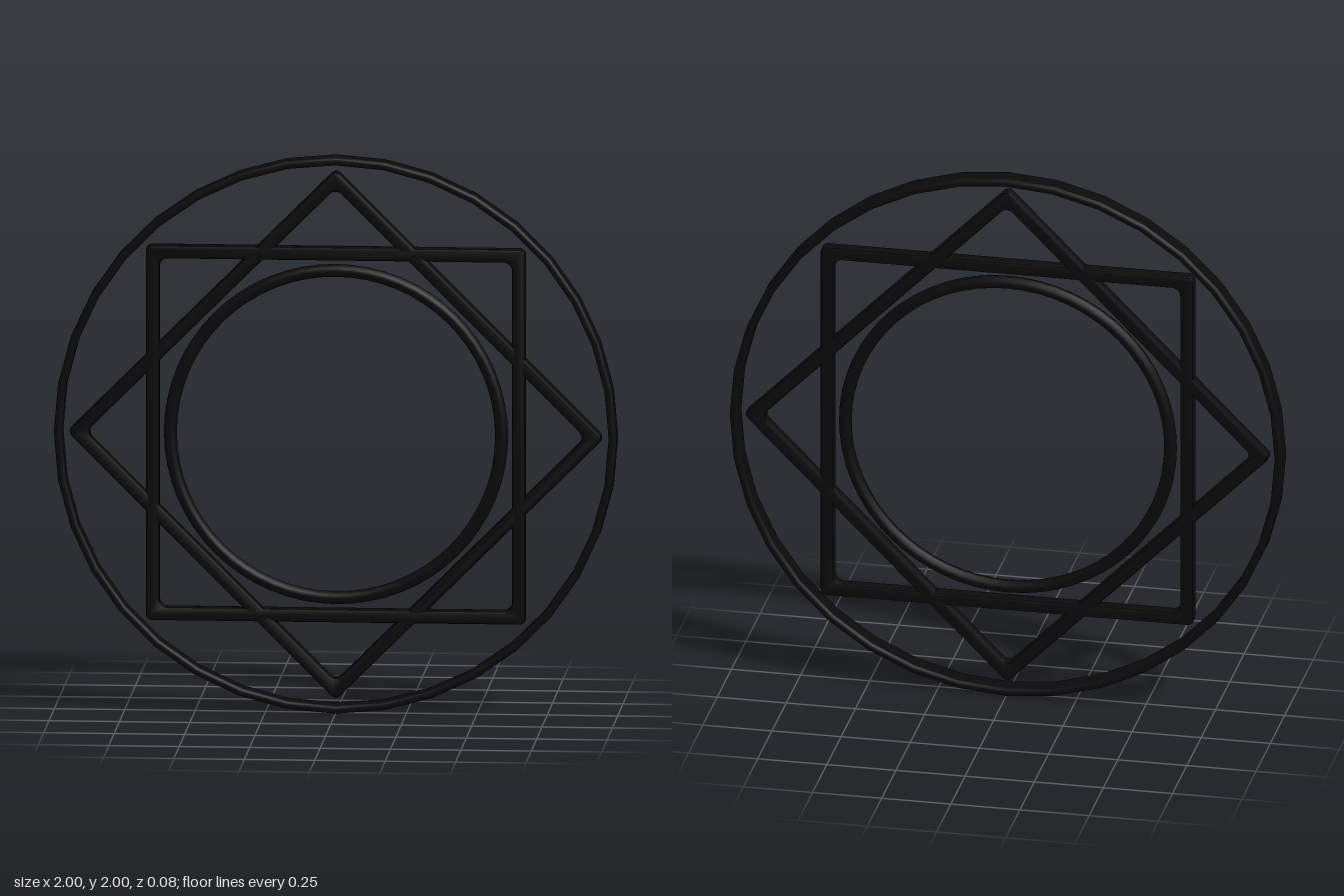
import * as THREE from 'three';
import { toCreasedNormals } from 'three/addons/utils/BufferGeometryUtils.js';

const black = new THREE.MeshStandardMaterial({ color: 0x0a0a0a });

function addPart(group, name, geometry) {
  const mesh = new THREE.Mesh(geometry, black);
  mesh.name = name;
  mesh.position.y = 1;
  group.add(mesh);
  return mesh;
}

// Traces a square with rounded corners, half side h and corner radius r
function roundedSquare(path, h, r) {
  const c = h - r;
  for (let i = 0; i < 4; i++) {
    const a = (i * Math.PI) / 2;
    const sx = i === 0 || i === 3 ? c : -c;
    const sy = i < 2 ? c : -c;
    path.absarc(sx, sy, r, a, a + Math.PI / 2, false);
  }
  path.closePath();
  return path;
}

// Square frame with softened edges, centred in depth
function frameGeometry(outer, inner, thickness, bevel) {
  const shape = roundedSquare(new THREE.Shape(), outer, 0.022);
  shape.holes.push(roundedSquare(new THREE.Path(), inner, 0.03));
  const geometry = new THREE.ExtrudeGeometry(shape, {
    depth: thickness - 2 * bevel,
    bevelThickness: bevel,
    bevelSize: bevel,
    bevelOffset: -bevel,
    bevelSegments: 2,
    curveSegments: 4,
  });
  geometry.translate(0, 0, bevel - thickness / 2);
  return toCreasedNormals(geometry, 0.7);
}

// Flat hoop: a band section with rounded edges, turned about z
function hoopGeometry(inner, outer, thickness, bevel, segments) {
  const mid = (inner + outer) / 2;
  const w = (outer - inner) / 2 - bevel;
  const h = thickness / 2 - bevel;
  const corners = [[1, -1], [1, 1], [-1, 1], [-1, -1]];
  const profile = [];
  corners.forEach(([sx, sy], i) => {
    for (let k = 0; k <= 3; k++) {
      const a = ((i - 1) * Math.PI) / 2 + (k * Math.PI) / 6;
      profile.push(new THREE.Vector2(mid + sx * w + bevel * Math.cos(a), sy * h + bevel * Math.sin(a)));
    }
  });
  profile.push(profile[0].clone());
  return new THREE.LatheGeometry(profile, segments).rotateX(Math.PI / 2);
}

export function createModel() {
  const group = new THREE.Group();
  group.name = 'starPendant';

  addPart(group, 'outerHoop', hoopGeometry(0.97, 1, 0.08, 0.012, 36));

  // Two equal frames crossing at 45 degrees make the eight-pointed star
  const frame = frameGeometry(0.674, 0.626, 0.05, 0.01);
  addPart(group, 'squareFrame', frame);
  addPart(group, 'diamondFrame', frame).rotation.z = Math.PI / 4;

  addPart(group, 'innerRing', new THREE.TorusGeometry(0.588, 0.023, 12, 64));
  return group;
}
